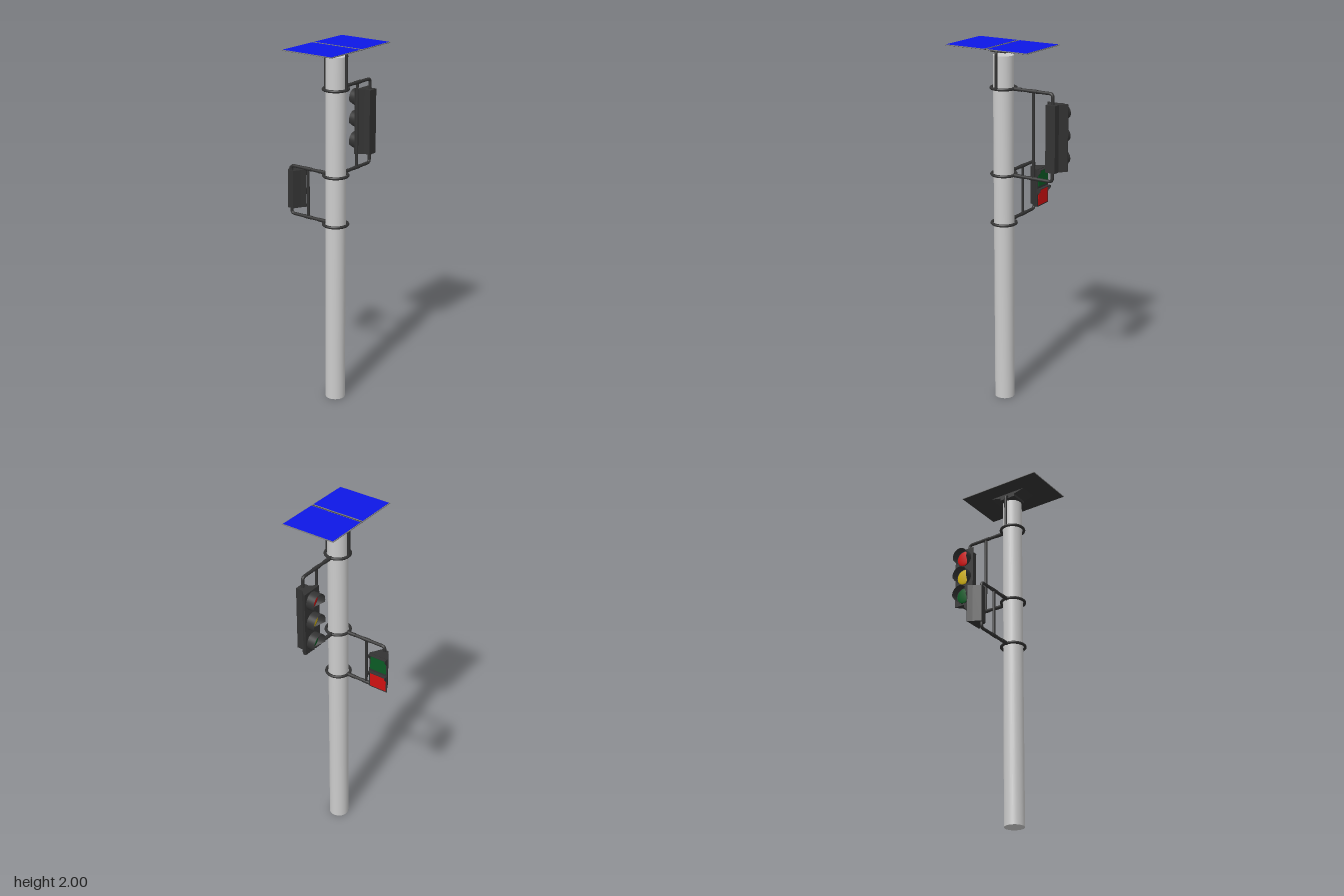
import * as THREE from 'three';

const mat = (color) => new THREE.MeshStandardMaterial({ color, side: THREE.DoubleSide });
const GREY = mat(0xcccccc), DARK = mat(0x333333), FRAME = mat(0x808080), BLUE = mat(0x0d17e6);
const RED = mat(0xd01010), YELLOW = mat(0xd0b010), GREEN = mat(0x0a5a24);
const V = (x, y, z = 0) => new THREE.Vector3(x, y, z);

function add(parent, name, geometry, material, x = 0, y = 0, z = 0) {
  const mesh = new THREE.Mesh(geometry, material);
  mesh.name = name;
  mesh.position.set(x, y, z);
  parent.add(mesh);
  return mesh;
}

function group(parent, name, x, z, turn = 0) {
  const g = new THREE.Group();
  g.name = name;
  g.position.set(x, 0, z);
  g.rotation.y = turn;
  parent.add(g);
  return g;
}

// Upright prism from an [x, z] outline
function prism(outline, height) {
  const shape = new THREE.Shape(outline.map(([x, z]) => new THREE.Vector2(x, -z)));
  return new THREE.ExtrudeGeometry(shape, { depth: height, bevelEnabled: false }).rotateX(-Math.PI / 2);
}

// Half outline mirrored about x = 0
const mirrored = (half) => [...half, ...half.map(([x, z]) => [-x, z]).reverse()];

// Pipe through points with rounded corners
function pipe(points, radius, bend = 0.02) {
  const path = new THREE.CurvePath();
  let from = points[0];
  for (let i = 1; i < points.length - 1; i++) {
    const p = points[i];
    const a = p.clone().add(points[i - 1].clone().sub(p).setLength(bend));
    const b = p.clone().add(points[i + 1].clone().sub(p).setLength(bend));
    path.add(new THREE.LineCurve3(from, a));
    path.add(new THREE.QuadraticBezierCurve3(a, p, b));
    from = b;
  }
  path.add(new THREE.LineCurve3(from, points[points.length - 1]));
  return new THREE.TubeGeometry(path, 80, radius, 12);
}

// Two arms, a brace and its collars, reaching along local +x from the pole axis
function bracket(parent, name, turn, top, bottom, endTop, endBottom) {
  const g = group(parent, name, 0, 0, turn);
  const reach = 0.303, brace = 0.187;
  for (const [y, end] of [[top, endTop], [bottom, endBottom]]) {
    add(g, 'arm', pipe([V(0.06, y), V(reach, y), V(reach, end)], 0.009), DARK);
    add(g, 'collar', new THREE.CylinderGeometry(0.0105, 0.0105, 0.05, 16).rotateZ(Math.PI / 2), DARK, brace, y);
    add(g, 'clampSleeve', new THREE.CylinderGeometry(0.0105, 0.0105, 0.05, 16).rotateZ(Math.PI / 2), DARK, 0.09, y);
  }
  add(g, 'brace', new THREE.CylinderGeometry(0.008, 0.008, top - bottom, 12), DARK, brace, (top + bottom) / 2);
}

// Round visor, cut away toward the bottom
function visorGeometry(radius, length) {
  const geo = new THREE.CylinderGeometry(radius, radius, length, 40, 1, true).rotateX(Math.PI / 2).translate(0, 0, length / 2);
  const pos = geo.attributes.position;
  for (let i = 0; i < pos.count; i++) {
    if (pos.getZ(i) < length / 2) continue;
    const keep = THREE.MathUtils.clamp((pos.getY(i) + radius) / (radius * 0.68), 0.04, 1);
    pos.setZ(i, length * keep);
  }
  geo.computeVertexNormals();
  return geo;
}

export function createModel() {
  const model = new THREE.Group();
  model.name = 'solarTrafficSignal';
  const px = 0.0975, pz = 0.055;
  const post = group(model, 'post', px, pz);

  // Pole and clamp rings
  add(post, 'pole', new THREE.CylinderGeometry(0.055, 0.055, 1.945, 48), GREY, 0, 0.9725);
  for (const y of [1.772, 1.303, 1.028]) {
    add(post, 'clampRing', new THREE.TorusGeometry(0.066, 0.008, 12, 48).rotateX(Math.PI / 2), DARK, 0, y);
  }

  // Side brackets
  bracket(post, 'trafficBracket', Math.PI / 2, 1.772, 1.303, 1.71, 1.36);
  bracket(post, 'pedestrianBracket', Math.PI, 1.303, 1.028, 1.27, 1.065);

  // Solar panel support
  add(post, 'panelHoop', pipe([V(-0.069, 1.772), V(-0.069, 1.975), V(0.069, 1.975), V(0.069, 1.772)], 0.008), DARK);
  const wedge = new THREE.Shape([[-0.12, 1.996], [-0.048, 1.978], [-0.048, 1.964], [0.048, 1.964], [0.048, 1.978], [0.12, 1.996]]
    .map(([x, y]) => new THREE.Vector2(x, y)));
  add(post, 'panelMount', new THREE.ExtrudeGeometry(wedge, { depth: 0.104, bevelEnabled: false })
    .translate(0, 0, -0.052).rotateY(Math.PI / 2), DARK);

  // Two solar panels with thin frames
  const panels = group(model, 'solarPanels', 0.104, 0.0565);
  add(panels, 'backing', new THREE.BoxGeometry(0.314, 0.002, 0.498), DARK, 0, 1.995);
  for (const s of [-1, 1]) {
    add(panels, 'panelFrame', new THREE.BoxGeometry(0.317, 0.004, 0.246), FRAME, 0, 1.997, s * 0.128);
    add(panels, 'panelCells', new THREE.BoxGeometry(0.308, 0.002, 0.237), BLUE, 0, 1.999, s * 0.128);
  }

  // Three-lamp head, facing local +z
  const traffic = group(model, 'trafficHead', px, -0.247, -Math.PI / 2);
  add(traffic, 'trafficHousing', prism(mirrored([[0.029, -0.022], [0.029, 0.016], [0.062, 0.052], [0.062, 0.056]]), 0.36), DARK, 0, 1.355);
  const visor = visorGeometry(0.049, 0.047);
  [RED, YELLOW, GREEN].forEach((color, i) => {
    const y = 1.656 - i * 0.1215;
    add(traffic, 'lamp', new THREE.SphereGeometry(0.046, 32, 8, 0, Math.PI * 2, 0, Math.PI / 2)
      .scale(1, 0.15, 1).rotateX(Math.PI / 2), color, 0, y, 0.056);
    add(traffic, 'lampVisor', visor, DARK, 0, y, 0.056);
  });

  // Two-window pedestrian head, facing local +z
  const walk = group(model, 'pedestrianHead', -0.205, pz, Math.PI);
  add(walk, 'pedestrianHousing', prism(mirrored([[0.018, -0.012], [0.041, 0.03], [0.0575, 0.054], [0.0575, 0.058]]), 0.215), DARK, 0, 1.06);
  const cheek = new THREE.Shape([[0, 0], [0.019, 0], [0.019, -0.012], [0, -0.036]].map(([x, y]) => new THREE.Vector2(x, y)));
  const cheekGeo = new THREE.ExtrudeGeometry(cheek, { depth: 0.003, bevelEnabled: false })
    .rotateY(-Math.PI / 2).translate(0.0015, 0, 0);
  [[GREEN, 1.271], [RED, 1.162]].forEach(([color, top]) => {
    add(walk, 'window', new THREE.BoxGeometry(0.1, 0.09, 0.004), color, 0, top - 0.05, 0.058);
    add(walk, 'hoodTop', new THREE.BoxGeometry(0.109, 0.003, 0.019), DARK, 0, top, 0.0675);
    for (const s of [-1, 1]) add(walk, 'hoodCheek', cheekGeo, DARK, s * 0.053, top, 0.058);
  });
  return model;
}
